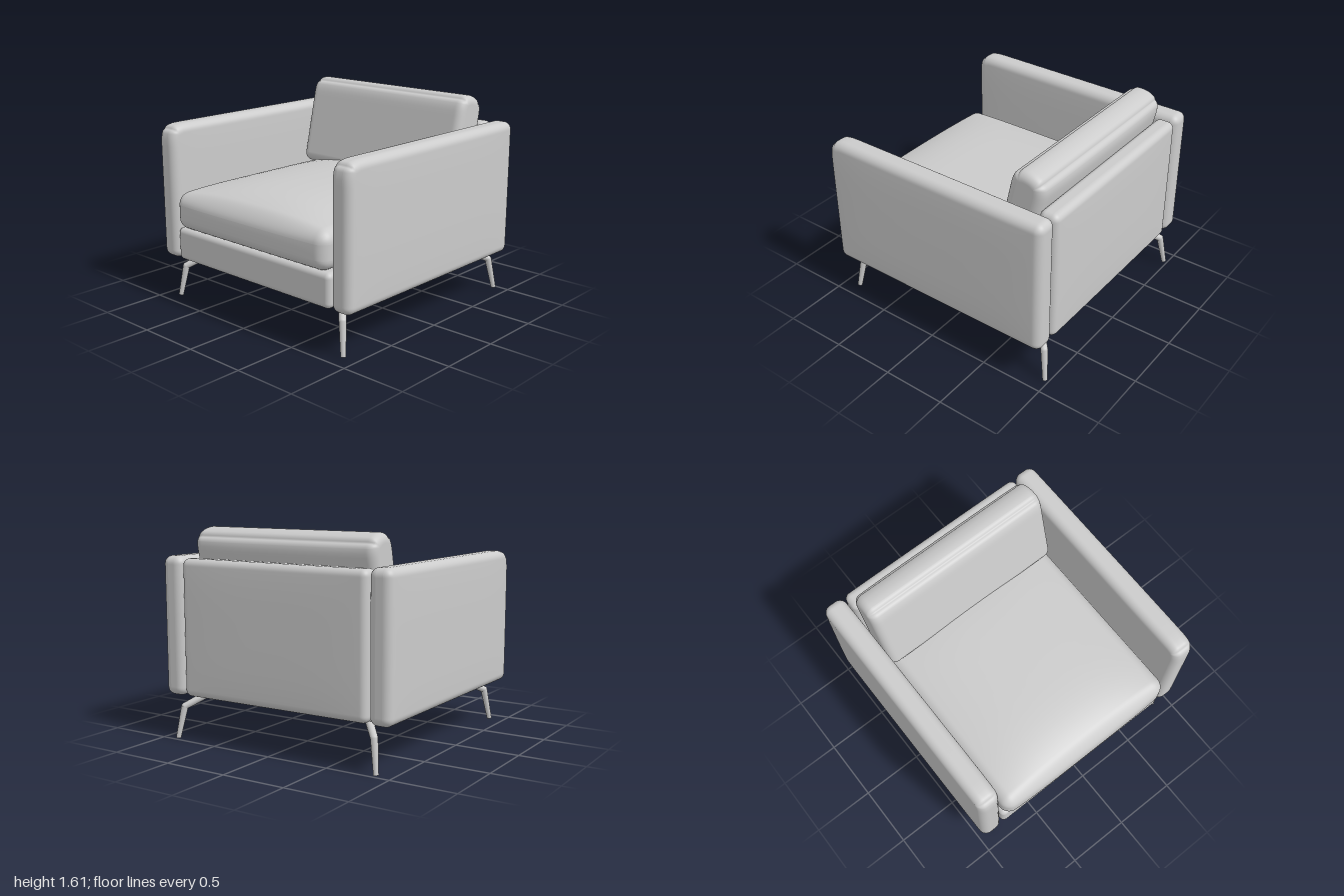
import * as THREE from 'three';
import { mergeVertices } from 'three/addons/utils/BufferGeometryUtils.js';

const material = new THREE.MeshStandardMaterial({ color: 0xcccccc });

// Upholstered block: a box with round edges, finely divided so a rule can shape it further.
function softBox(name, size, radius, center, shape = () => {}) {
  const n = 28, corner = 5, c = 1 - (2 * corner) / n;
  let geo = new THREE.BoxGeometry(2, 2, 2, n, n, n);
  geo.deleteAttribute('uv');
  geo.deleteAttribute('normal');
  geo.clearGroups();
  geo = mergeVertices(geo, 1e-5);
  const half = size.map((s) => s / 2);
  const pos = geo.attributes.position;
  const p = new THREE.Vector3(), inner = new THREE.Vector3();
  for (let i = 0; i < pos.count; i++) {
    p.fromBufferAttribute(pos, i);
    for (let k = 0; k < 3; k++) {
      const t = p.getComponent(k), a = Math.abs(t), flat = half[k] - radius;
      const core = flat * Math.sin((Math.PI / 2) * Math.min(1, a / c));
      const edge = a > c ? Math.tan((Math.PI / 4) * (a - c) / (1 - c)) : 0;
      inner.setComponent(k, Math.sign(t) * core);
      p.setComponent(k, Math.sign(t) * edge);
    }
    p.normalize().multiplyScalar(radius).add(inner);
    shape(p, half);
    pos.setXYZ(i, p.x, p.y, p.z);
  }
  geo.computeVertexNormals();
  const mesh = new THREE.Mesh(geo, material);
  mesh.name = name;
  mesh.position.set(...center);
  return mesh;
}

// Fullness that is 1 at the middle and 0 at the border.
const swell = (v, half, power) => Math.max(0, 1 - Math.abs(v / half) ** power);

// Enlarges the rounding of the long edge where +y meets side * z.
function roundTopEdge(p, half, R, side, amount) {
  const a = (p.y - (half[1] - R)) / R;
  const b = (side * p.z - (half[2] - R)) / R;
  if (a <= 0 || b <= 0) return;
  const k = 1 - amount + amount * Math.max(a, b) / Math.hypot(a, b);
  p.y = half[1] - R + a * k * R;
  p.z = side * (half[2] - R + b * k * R);
}

// Tapered round bar between two points.
function bar(a, b, ra, rb) {
  const dir = b.clone().sub(a);
  const mesh = new THREE.Mesh(new THREE.CylinderGeometry(rb, ra, dir.length(), 16), material);
  mesh.position.copy(a).addScaledVector(dir, 0.5);
  mesh.quaternion.setFromUnitVectors(new THREE.Vector3(0, 1, 0), dir.normalize());
  return mesh;
}

function makeLeg(name, sx, foot, knee, top) {
  const leg = new THREE.Group();
  leg.name = name;
  const [f, k, t] = [foot, knee, top].map(([x, y, z]) => new THREE.Vector3(sx * x, y, z));
  const joint = new THREE.Mesh(new THREE.SphereGeometry(0.027, 16, 10), material);
  joint.position.copy(k);
  const parts = { shin: bar(f, k, 0.019, 0.027), knee: joint, bracket: bar(k, t, 0.027, 0.03) };
  for (const [part, mesh] of Object.entries(parts)) {
    mesh.name = part;
    leg.add(mesh);
  }
  return leg;
}

export function createModel() {
  const model = new THREE.Group();
  model.name = 'armchair';

  // Frame under the seat and the back panel
  model.add(softBox('base', [1.61, 0.26, 1.84], 0.04, [0, 0.465, 0.02]));
  model.add(softBox('backPanel', [1.61, 1.045, 0.155], 0.05, [0, 0.8575, -0.9], (p, h) => {
    if (p.z < 0) p.z -= 0.01 * swell(p.x, h[0], 4) * swell(p.y, h[1], 4);
  }));

  // Arms, with a larger curve at the top front
  for (const [name, sx] of [['leftArm', 1], ['rightArm', -1]]) {
    model.add(softBox(name, [0.175, 1.065, 1.925], 0.06, [sx * 0.9025, 0.8625, -0.0175], (p, h) => {
      p.x *= 1 + 0.11 * swell(p.y, h[1], 4) * swell(p.z, h[2], 6);
      roundTopEdge(p, h, 0.14, 1, 0.6);
    }));
  }

  // Seat cushion with a crowned top and bulging front
  model.add(softBox('seatCushion', [1.575, 0.285, 1.765], 0.085, [0, 0.7375, 0.0825], (p, h) => {
    const z = p.z;
    if (p.z > 0) p.z += 0.02 * swell(p.y, h[1], 2) * swell(p.x, h[0], 4) * (z / h[2]);
    if (p.y > 0) p.y += 0.105 * swell(p.x, h[0], 2.5) * swell(z, h[2], 5) * (p.y / h[1]);
  }));

  // Leaning back cushion with a full, round top
  const backCushion = softBox('backCushion', [1.575, 0.735, 0.28], 0.065, [0, 1.244, -0.652], (p, h) => {
    const full = swell(p.x, h[0], 4) * swell(p.y, h[1], 4);
    roundTopEdge(p, h, 0.135, 1, 0.75);
    roundTopEdge(p, h, 0.135, -1, 0.75);
    if (p.z < 0) p.z -= 0.015 * full;
  });
  backCushion.rotation.x = -0.22;
  model.add(backCushion);

  // Bent legs
  for (const [side, sx] of [['Left', 1], ['Right', -1]]) {
    model.add(makeLeg('front' + side + 'Leg', sx, [0.88, 0, 0.875], [0.842, 0.245, 0.84], [0.69, 0.355, 0.68]));
    model.add(makeLeg('back' + side + 'Leg', sx, [0.88, 0, -0.968], [0.842, 0.245, -0.93], [0.69, 0.355, -0.77]));
  }
  return model;
}
